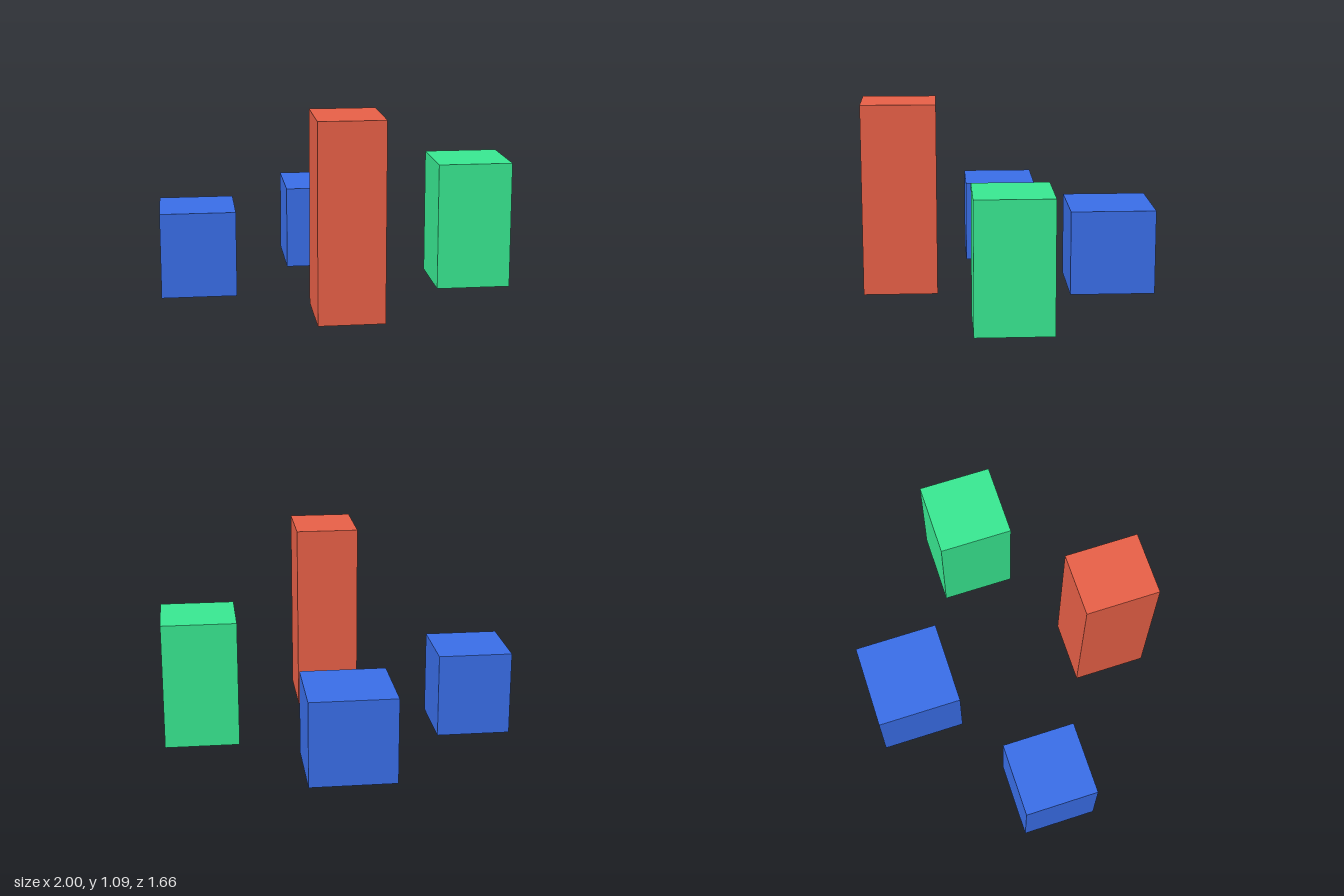
import * as THREE from 'three';

const paint = (name, color) => {
  const material = new THREE.MeshStandardMaterial({ color });
  material.name = name;
  return material;
};

export function createModel() {
  const model = new THREE.Group();
  model.name = 'blocks';
  const red = paint('brick red', 0xe86047);
  const green = paint('green', 0x38e891);
  const blue = paint('blue', 0x3a6fea);

  // A block standing on the ground, centred on x and z
  const addBlock = (name, material, [width, height, depth], x, z) => {
    const block = new THREE.Mesh(new THREE.BoxGeometry(width, height, depth), material);
    block.name = name;
    block.position.set(x, height / 2, z);
    model.add(block);
  };

  // Four separate blocks arranged in a cross
  addBlock('frontTower', red, [0.362, 1.092, 0.422], 0, 0.62);
  addBlock('leftBlock', green, [0.424, 0.728, 0.424], 0.788, 0.015);
  addBlock('rightBlock', blue, [0.424, 0.485, 0.424], -0.788, 0.015);
  addBlock('backBlock', blue, [0.485, 0.485, 0.485], 0, -0.59);

  return model;
}
